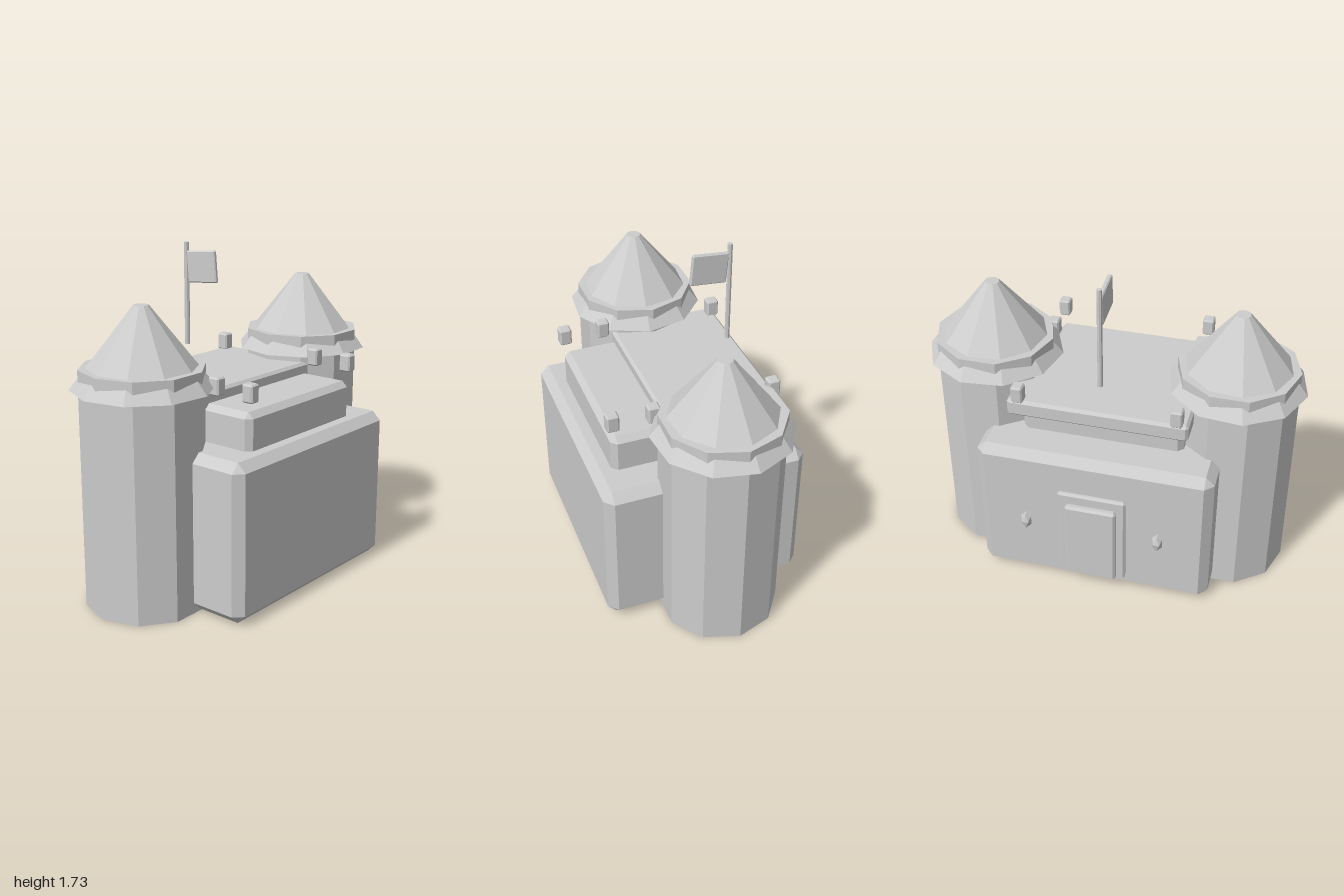
import * as THREE from 'three';
import { ConvexGeometry } from 'three/addons/geometries/ConvexGeometry.js';

export function createModel() {
  const castle = new THREE.Group();
  castle.name = 'castle';

  const stone = new THREE.MeshStandardMaterial({ color: 0xcccccc, flatShading: true });
  stone.name = 'stone grey';

  function add(name, geometry, x, y, z) {
    const mesh = new THREE.Mesh(geometry, stone);
    mesh.name = name;
    mesh.position.set(x, y, z);
    castle.add(mesh);
    return mesh;
  }

  // Box with every edge cut at 45 degrees, given by its extents
  function chamferBox(name, [x0, x1], [y0, y1], [z0, z1], c) {
    const w = (x1 - x0) / 2, h = (y1 - y0) / 2, d = (z1 - z0) / 2;
    const points = [];
    for (const sx of [-1, 1]) for (const sy of [-1, 1]) for (const sz of [-1, 1]) {
      points.push(
        new THREE.Vector3(sx * w, sy * (h - c), sz * (d - c)),
        new THREE.Vector3(sx * (w - c), sy * h, sz * (d - c)),
        new THREE.Vector3(sx * (w - c), sy * (h - c), sz * d)
      );
    }
    return add(name, new ConvexGeometry(points), (x0 + x1) / 2, (y0 + y1) / 2, (z0 + z1) / 2);
  }

  // Keep: main block, upper block and roof slab
  chamferBox('mainBlock', [-0.51, 0.56], [0.01, 0.83], [-0.62, 0.62], 0.046);
  chamferBox('upperBlock', [-0.3, 0.46], [0.78, 1.02], [-0.425, 0.425], 0.03);
  chamferBox('roofSlab', [-0.415, 0.18], [0.985, 1.08], [-0.465, 0.465], 0.015);

  // Door on the right side
  chamferBox('doorFrame', [-0.53, -0.49], [0.085, 0.62], [-0.18, 0.18], 0.01);
  chamferBox('door', [-0.56, -0.51], [0.09, 0.56], [-0.135, 0.135], 0.012);

  for (const side of [-1, 1]) {
    // Ten-sided towers with slightly turned roofs
    add('tower', new THREE.CylinderGeometry(0.313, 0.313, 1.22, 10), -0.028, 0.61, side * 0.643);
    const roof = add('towerRoof', new THREE.CylinderGeometry(0.038, 0.357, 0.405, 10), -0.028, 1.3175, side * 0.643);
    roof.rotation.y = -side * 0.1;

    // Lanterns beside the door
    const lantern = add('lantern', new THREE.IcosahedronGeometry(0.031, 0), -0.532, 0.4, side * 0.352);
    lantern.scale.y = 1.7;

    // Battlements
    for (const x of [-0.395, 0.24, 0.45]) {
      const z = side * 0.405;
      chamferBox('battlement', [x - 0.032, x + 0.032], [1.075, 1.167], [z - 0.03, z + 0.03], 0.008);
    }
  }

  // Flag
  add('flagPole', new THREE.CylinderGeometry(0.014, 0.014, 0.55, 8), -0.318, 1.457, 0);
  const flag = chamferBox('flag', [-0.305, -0.11], [1.527, 1.695], [-0.012, 0.012], 0.006);
  flag.rotation.z = 0.085;

  return castle;
}
